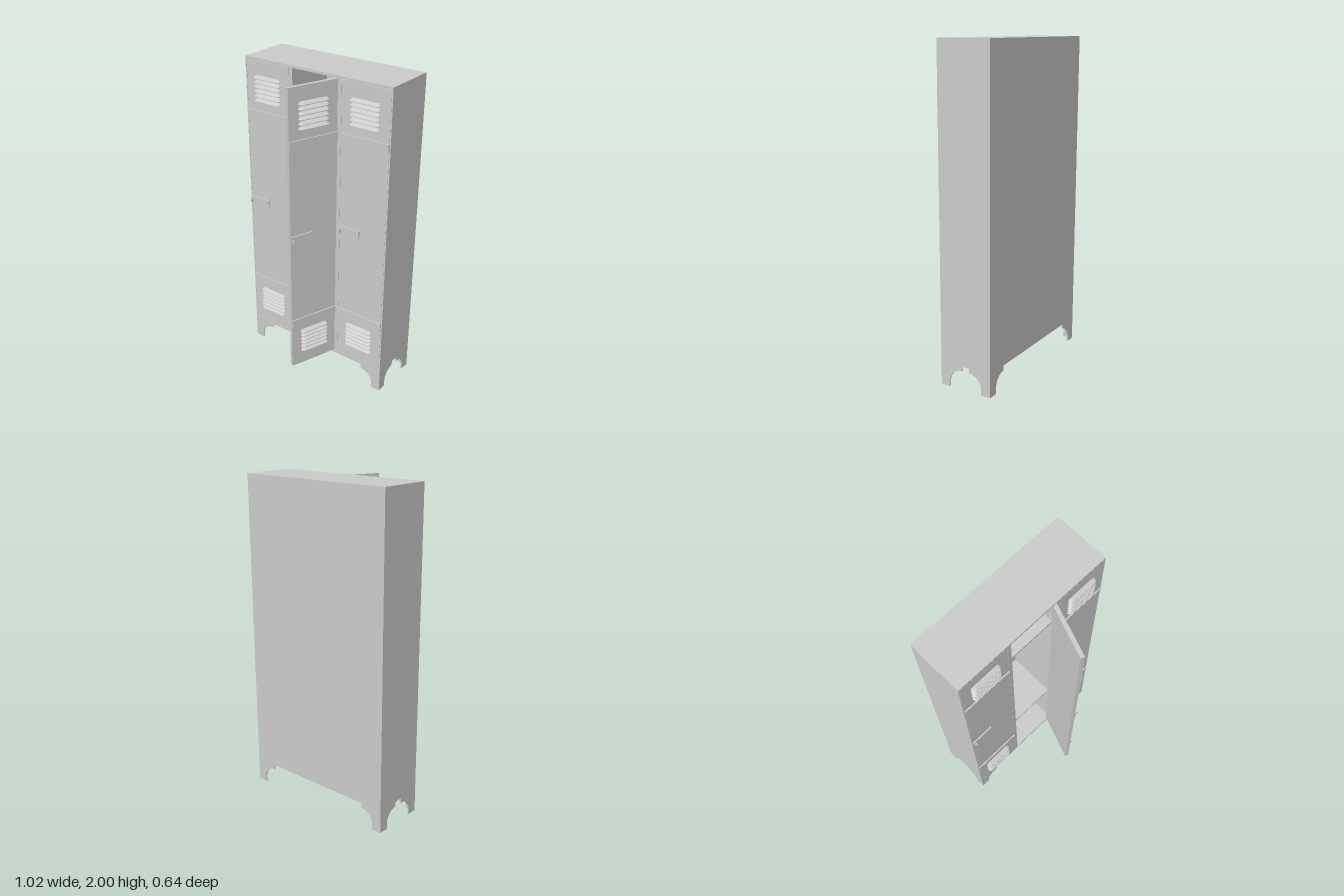
import * as THREE from 'three';

const W = 1.024, D = 0.34, H = 2, T = 0.008;   // cabinet size and sheet thickness
const FRONT = 0.02, BACK = FRONT - D, MID_Z = (FRONT + BACK) / 2;
const PITCH = 0.344, DOOR_W = 0.318, OPEN_W = 0.32;
const DOOR_Y0 = 0.167, DOOR_Y1 = 1.984, DOOR_T = 0.024;

const metal = new THREE.MeshStandardMaterial({ color: 0xcccccc });
const thin = new THREE.MeshStandardMaterial({ color: 0xcccccc, side: THREE.DoubleSide });

function add(parent, name, geometry, material = metal) {
  const mesh = new THREE.Mesh(geometry, material);
  mesh.name = name;
  parent.add(mesh);
  return mesh;
}

// Box given by its minimum and maximum corners
function box(parent, name, [x0, y0, z0], [x1, y1, z1]) {
  const mesh = add(parent, name, new THREE.BoxGeometry(x1 - x0, y1 - y0, z1 - z0));
  mesh.position.set((x0 + x1) / 2, (y0 + y1) / 2, (z0 + z1) / 2);
  return mesh;
}

// Sheet panel with a stepped, arched cut-out between two feet
function panelShape(w) {
  const h = w / 2, s = new THREE.Shape();
  s.moveTo(-h, 0);
  s.lineTo(-h + 0.062, 0);
  s.lineTo(-h + 0.062, 0.035);
  s.absellipse(-h + 0.145, 0.035, 0.083, 0.08, Math.PI, Math.PI / 2, true);
  s.lineTo(-h + 0.145, 0.145);
  s.lineTo(h - 0.145, 0.145);
  s.lineTo(h - 0.145, 0.115);
  s.absellipse(h - 0.145, 0.035, 0.083, 0.08, Math.PI / 2, 0, true);
  s.lineTo(h - 0.062, 0);
  s.lineTo(h, 0);
  s.lineTo(h, H);
  s.lineTo(-h, H);
  s.closePath();
  return s;
}

const sheet = (shape) => new THREE.ExtrudeGeometry(shape, { depth: T, bevelEnabled: false, curveSegments: 10 });

// Louvre hood: rounded lip at the bottom, sloping back to a straight top edge
function louvreGeometry() {
  const half = 0.098, depth = 0.025, r = 0.022, n = 6, lip = [];
  for (let i = 0; i <= n; i++) {
    const a = (i / n) * Math.PI / 2;
    lip.push([-half + r * (1 - Math.cos(a)), depth * Math.sin(a)]);
  }
  for (let i = n; i >= 0; i--) lip.push([-lip[i][0], lip[i][1]]);
  const pos = [], index = [];
  lip.forEach(([x, z], i) => {
    pos.push(x, 0, z, x, 0.004, z, x * 0.88, 0.017, 0);
    if (i === 0) return;
    const a = (i - 1) * 3, b = i * 3;
    for (let k = 0; k < 2; k++) index.push(a + k, b + k, b + k + 1, a + k, b + k + 1, a + k + 1);
  });
  const g = new THREE.BufferGeometry();
  g.setAttribute('position', new THREE.Float32BufferAttribute(pos, 3));
  g.setIndex(index);
  const flat = g.toNonIndexed();
  flat.computeVertexNormals();
  return flat;
}

// Door with its hinge on the outer face's right edge at the local origin
function makeDoor(louvre) {
  const door = new THREE.Group();
  door.name = 'door';
  box(door, 'doorPanel', [-DOOR_W, DOOR_Y0, -DOOR_T], [0, DOOR_Y1, 0]);
  for (const y of [0.46, 1.63]) box(door, 'doorStrap', [-DOOR_W, y, 0], [0, y + 0.052, 0.008]);
  box(door, 'lockPlate', [-DOOR_W, 1.04, 0], [-DOOR_W + 0.142, 1.096, 0.008]);
  // Lock barrel with a key standing in it
  const barrel = add(door, 'lockBarrel', new THREE.CylinderGeometry(0.008, 0.008, 0.004, 16));
  barrel.rotation.x = Math.PI / 2;
  barrel.position.set(-DOOR_W + 0.012, 1.066, 0.01);
  box(door, 'key', [-DOOR_W + 0.01, 1.055, 0.008], [-DOOR_W + 0.014, 1.077, 0.026]);
  // Two banks of six louvres
  for (const y0 of [0.266, 1.741]) {
    for (let i = 0; i < 6; i++) {
      add(door, 'louvre', louvre, thin).position.set(-DOOR_W / 2, y0 + i * 0.028, 0);
    }
  }
  return door;
}

export function createModel() {
  const locker = new THREE.Group();
  locker.name = 'locker';

  // Outer shell
  const frontShape = panelShape(W);
  for (const k of [-1, 0, 1]) {
    const x0 = k * PITCH - OPEN_W / 2, x1 = k * PITCH + OPEN_W / 2;
    frontShape.holes.push(new THREE.Path([
      new THREE.Vector2(x0, 0.165), new THREE.Vector2(x0, 1.986),
      new THREE.Vector2(x1, 1.986), new THREE.Vector2(x1, 0.165),
    ]));
  }
  add(locker, 'frontFrame', sheet(frontShape)).position.z = FRONT - T;
  add(locker, 'backPanel', sheet(panelShape(W))).position.z = BACK;
  for (const s of [-1, 1]) {
    const side = add(locker, s > 0 ? 'leftPanel' : 'rightPanel', sheet(panelShape(D)));
    side.rotation.y = Math.PI / 2;
    side.position.set(s > 0 ? W / 2 - T : -W / 2, 0, MID_Z);
  }
  const ix = W / 2 - 0.004, z0 = BACK + 0.004, z1 = FRONT - 0.004;
  box(locker, 'topPanel', [-W / 2, 1.986, BACK], [W / 2, H, FRONT]);
  box(locker, 'floor', [-ix, 0.146, z0], [ix, 0.165, z1]);

  // Dividers between compartments
  for (const s of [-1, 1]) {
    const x = s * PITCH / 2;
    box(locker, 'divider', [x - 0.012, 0.16, z0], [x + 0.012, 1.99, z1]);
  }

  // Shelves and doors, the middle door standing open
  const louvre = louvreGeometry();
  for (const k of [-1, 0, 1]) {
    const cx = k * PITCH;
    for (const y of [0.655, 1.718]) {
      box(locker, 'shelf', [cx - 0.162, y, z0], [cx + 0.162, y + 0.015, FRONT - DOOR_T - 0.002]);
    }
    const door = makeDoor(louvre);
    door.position.set(cx + DOOR_W / 2, 0, FRONT);
    if (k === 0) door.rotation.y = THREE.MathUtils.degToRad(70);
    locker.add(door);
  }
  return locker;
}
